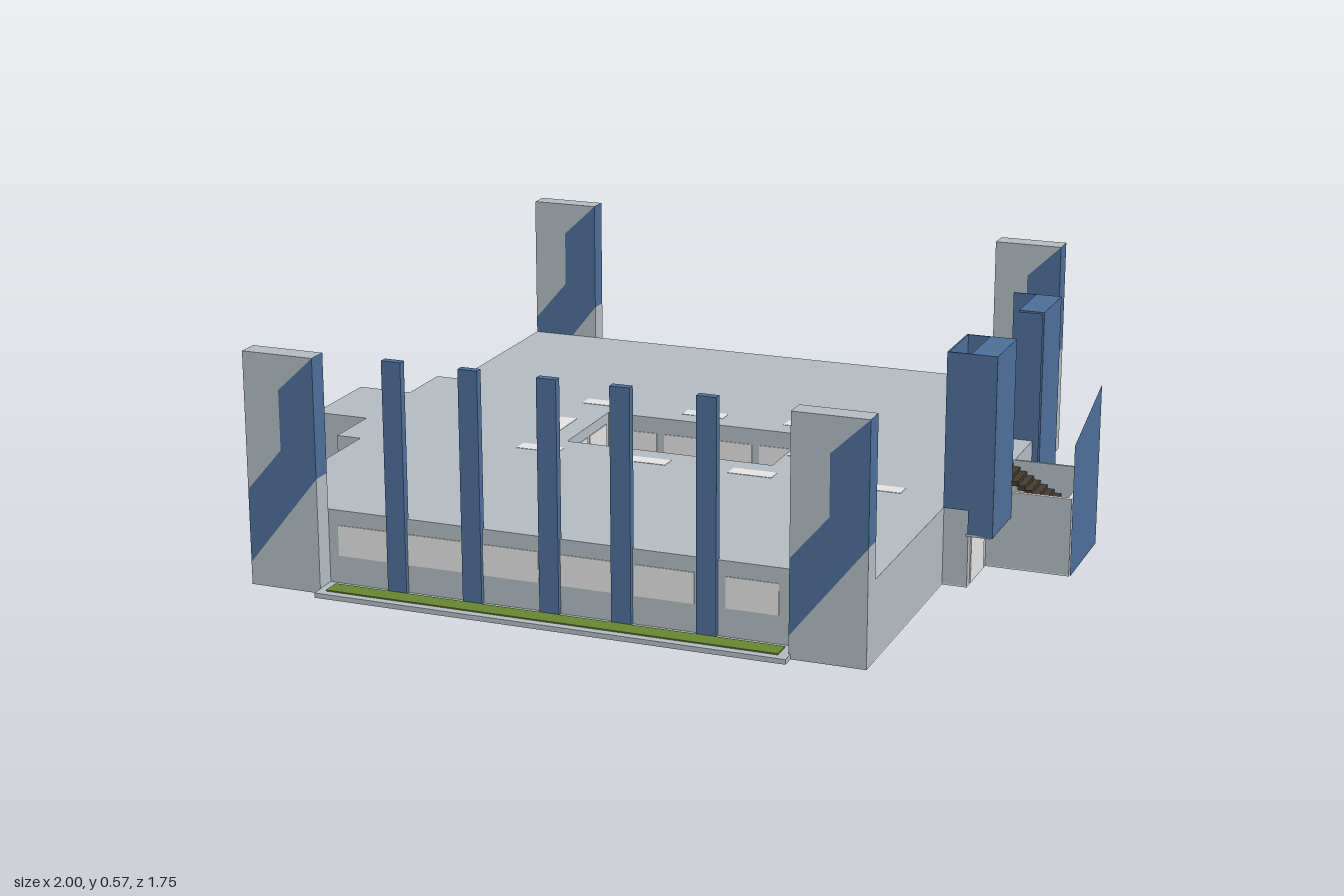
import * as THREE from 'three';

const mat = (name, color) => {
  const m = new THREE.MeshStandardMaterial({ color, side: THREE.DoubleSide });
  m.name = name;
  return m;
};

export function createModel() {
  const grey = mat('concreteGrey', 0xb2bbc1);
  const blue = mat('panelBlue', 0x4d6e98);
  const pale = mat('paleGlass', 0xe3e3e3);
  const green = mat('grassGreen', 0x678530);
  const brown = mat('stairBrown', 0x443a32);
  const model = new THREE.Group();
  model.name = 'building';

  const add = (name, geometry, material) => {
    const mesh = new THREE.Mesh(geometry, material);
    mesh.name = name;
    model.add(mesh);
    return mesh;
  };
  // Box given by its two extreme corners
  const box = (name, material, x0, x1, y0, y1, z0, z1) => {
    const g = new THREE.BoxGeometry(x1 - x0, y1 - y0, z1 - z0);
    g.translate((x0 + x1) / 2, (y0 + y1) / 2, (z0 + z1) / 2);
    return add(name, g, material);
  };
  const polygon = (pts) => new THREE.Shape(pts.map(([a, b]) => new THREE.Vector2(a, b)));
  const extrude = (shape, depth) => new THREE.ExtrudeGeometry(shape, { depth, bevelEnabled: false });
  const H = 0.192;

  // Main block: stepped plan (x, z) with a courtyard and a stairwell cut out
  const plan = [
    [-0.79, 0.79], [0.73, 0.79], [0.73, 0.26], [0.79, 0.26], [0.79, 0.10], [0.995, 0.10],
    [0.995, -0.155], [0.79, -0.155], [0.79, -0.32], [0.72, -0.32], [0.72, -0.822], [-0.79, -0.822],
    [-0.79, -0.305], [-0.855, -0.305], [-0.855, -0.14], [-1, -0.14], [-1, 0.11], [-0.855, 0.11],
    [-0.855, 0.27], [-0.79, 0.27],
  ].map(([x, z]) => [x, -z]);
  const rectHole = (x0, x1, z0, z1) =>
    new THREE.Path([[x0, -z0], [x1, -z0], [x1, -z1], [x0, -z1]].map((p) => new THREE.Vector2(...p)));
  const flat = (shape, y0, y1) => extrude(shape, y1 - y0).rotateX(-Math.PI / 2).translate(0, y0, 0);
  const bodyShape = polygon(plan);
  bodyShape.holes.push(rectHole(-0.295, 0.25, -0.16, 0.105), rectHole(0.69, 0.985, -0.148, 0.09));
  add('mainBlock', flat(bodyShape, 0.003, H), grey);
  add('baseSlab', flat(polygon(plan), 0, 0.003), pale);

  // Courtyard windows, over the pale floor slab
  for (let i = 0; i < 4; i++) {
    const x = -0.27 + i * 0.13;
    box('courtyardWindow', pale, x, x + 0.11, 0.05, 0.15, -0.16, -0.158);
  }
  for (const [a, b] of [[0.02, 0.1], [0.115, 0.235]])
    box('courtyardDoor', pale, a, b, 0.005, 0.16, 0.103, 0.105);
  for (const z of [-0.145, -0.02]) {
    box('courtyardWindow', pale, 0.248, 0.25, 0.03, 0.165, z, z + 0.11);
    box('courtyardWindow', pale, -0.295, -0.293, 0.03, 0.165, z, z + 0.11);
  }

  // Roof lights
  const lights = [
    [-0.335, -0.235], [-0.055, -0.235], [0.22, -0.24], [-0.37, -0.025, 1], [0.28, -0.035, 1],
    [-0.335, 0.18], [-0.05, 0.18], [0.225, 0.18], [0.55, 0.18],
  ];
  for (const [x, z, turned] of lights) {
    const w = turned ? 0.022 : 0.056, d = turned ? 0.055 : 0.021;
    box('roofLight', pale, x - w, x + w, H, H + 0.001, z - d, z + d);
  }

  // Corner pylons: a stepped blue band between two grey pieces
  const pylon = (x0, x1, z0, z1) => {
    const xm = (x0 + x1) / 2;
    const parts = [
      ['pylonBase', grey, [[x0, 0], [x1, 0], [x1, 0.28], [x0, 0.055]]],
      ['pylonBand', blue, [[x0, 0.055], [x1, 0.28], [x1, 0.57], [xm, 0.485], [xm, 0.34], [x0, 0.235]]],
      ['pylonTop', grey, [[x0, 0.235], [xm, 0.34], [xm, 0.485], [x1, 0.57], [x0, 0.57]]],
    ];
    for (const [name, material, pts] of parts)
      add(name, extrude(polygon(pts), z1 - z0).translate(0, 0, z0), material);
  };
  pylon(-0.785, -0.605, 0.79, 0.842);
  pylon(0.55, 0.73, 0.785, 0.838);
  pylon(-0.79, -0.61, -0.87, -0.82);
  pylon(0.545, 0.722, -0.875, -0.82);

  // Front fins, windows and planter
  for (const x of [-0.425, -0.233, -0.04, 0.137, 0.342])
    box('frontFin', blue, x - 0.024, x + 0.024, 0.01, 0.57, 0.782, 0.802);
  for (const [a, b] of [[-0.58, -0.45], [-0.4, -0.26], [-0.21, -0.07], [-0.015, 0.11], [0.165, 0.31], [0.385, 0.51]])
    box('frontWindow', pale, a, b, 0.08, 0.155, 0.789, 0.792);
  box('planter', grey, -0.605, 0.555, 0, 0.012, 0.78, 0.872);
  box('grassStrip', green, -0.585, 0.53, 0.012, 0.015, 0.804, 0.852);

  // Back windows
  for (const [a, b] of [[0.33, 0.45], [0.09, 0.21], [-0.06, 0.06], [-0.205, -0.085]])
    box('backWindow', pale, a, b, 0.075, 0.155, -0.824, -0.821);

  // Tall hollow towers beside the stair, with half-covered tops
  for (const [z0, z1, closed] of [[-0.32, -0.155, false], [0.10, 0.265, true]]) {
    box('towerOuterWall', blue, 0.845, 0.85, 0.13, 0.57, z0, z1);
    box('towerUnderside', grey, 0.785, 0.845, 0.128, 0.133, z0, z1);
    box('towerTop', blue, 0.787, 0.85, 0.565, 0.57, z0, z1);
    const wall = (z) => {
      box('towerWall', blue, 0.73, 0.85, H, 0.57, z, z + 0.004);
      box('towerWall', blue, 0.79, 0.85, 0.13, H, z, z + 0.004);
    };
    wall(closed ? z1 - 0.004 : z0);
    if (closed) {
      wall(z0);
      box('towerInnerWall', blue, 0.73, 0.734, H, 0.57, z0, z1);
    }
  }
  box('sideDoor', pale, 0.788, 0.793, 0.004, 0.122, 0.125, 0.238);
  box('sideDoor', pale, 0.788, 0.793, 0.004, 0.122, -0.3, -0.165);

  // Sloped screen on the outside of the stair, and the pale rim behind it
  const screen = polygon([[0.155, 0], [0.155, 0.405], [-0.10, 0.325], [-0.10, 0]]);
  add('stairScreen', new THREE.ShapeGeometry(screen).rotateY(Math.PI / 2).translate(0.998, 0, 0), blue);
  box('stairRim', pale, 0.985, 0.995, H, H + 0.001, -0.155, 0.10);
  box('stairRim', pale, 0.79, 0.985, H, H + 0.001, 0.09, 0.10);

  // Two flights of stairs around an open well
  const n = 8;
  for (let i = 0; i < n; i++) {
    const x = 0.695 + (i * 0.215) / n, y = 0.012 + (i * 0.085) / n;
    box('lowerStep', brown, x, x + 0.215 / n, y, y + 0.012, 0, 0.09);
    const u = 0.91 - ((i + 1) * 0.14) / n, v = 0.108 + (i * 0.075) / n;
    box('upperStep', brown, u, u + 0.14 / n, v, v + 0.012, -0.147, -0.06);
  }
  box('halfLanding', brown, 0.91, 0.984, 0.095, 0.108, -0.147, 0.09);
  box('stairStringer', brown, 0.69, 0.698, 0.01, 0.19, -0.06, 0.09);
  box('topLanding', pale, 0.69, 0.77, 0.18, 0.191, -0.147, -0.06);

  return model;
}
